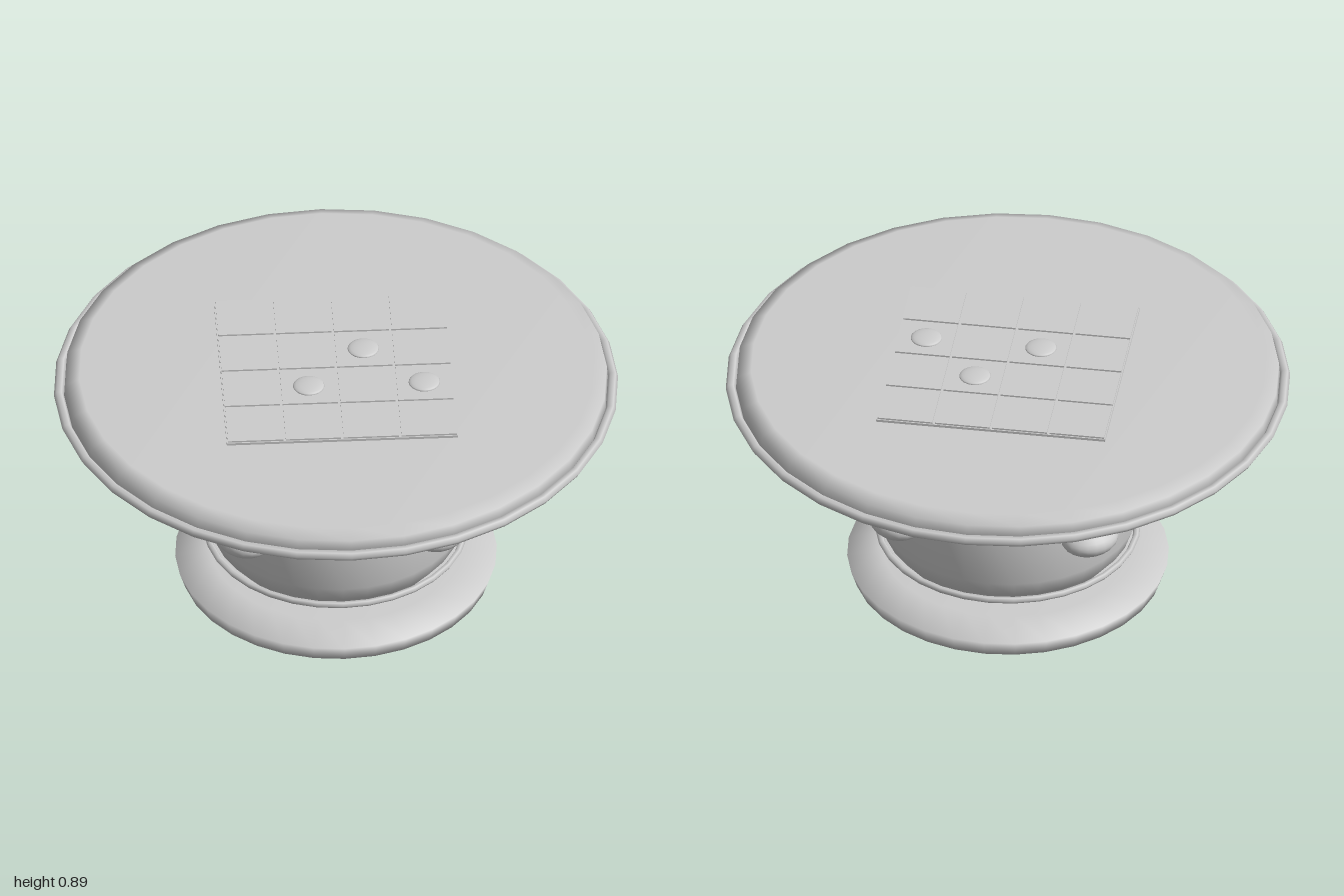
import * as THREE from 'three';

export function createModel() {
  const model = new THREE.Group();
  const stone = new THREE.MeshStandardMaterial({ color: 0xcccccc });
  stone.name = 'pale grey';

  const add = (name, geometry, x = 0, y = 0, z = 0) => {
    const mesh = new THREE.Mesh(geometry, stone);
    mesh.name = name;
    mesh.position.set(x, y, z);
    model.add(mesh);
    return mesh;
  };
  const lathe = (name, points, segments) =>
    add(name, new THREE.LatheGeometry(points.map(p => new THREE.Vector2(...p)), segments));
  const ring = (name, radius, tube, y, segments) =>
    add(name, new THREE.TorusGeometry(radius, tube, 6, segments).rotateX(Math.PI / 2), 0, y, 0);

  // Foot, rounded pedestal and table top
  lathe('foot', [[0, 0], [0.55, 0], [0.57, 0.06], [0.45, 0.095], [0, 0.095]], 32);
  lathe('pedestal', [[0.365, 0.09], [0.44, 0.18], [0.46, 0.24], [0.478, 0.48],
    [0.415, 0.67], [0.3, 0.75]], 32);
  lathe('tableTop', [[0, 0.745], [0.915, 0.745], [0.965, 0.785], [0.96, 0.845],
    [0.91, 0.865], [0, 0.865]], 32);

  // Trim rings
  ring('lowerRing', 0.458, 0.012, 0.171, 32);
  ring('upperRing', 0.458, 0.012, 0.625, 32);
  ring('tableRim', 0.982, 0.018, 0.797, 32);

  // Four oval knobs around the pedestal
  for (let i = 0; i < 4; i++) {
    const angle = Math.PI / 4 + i * Math.PI / 2;
    const knob = add('knob', new THREE.SphereGeometry(1, 20, 14),
      0.488 * Math.sin(angle), 0.4, 0.488 * Math.cos(angle));
    knob.scale.set(0.107, 0.056, 0.093);
    knob.rotation.y = angle;
  }

  // Game board of four by four tiles
  const cell = 0.205;
  add('boardBase', new THREE.BoxGeometry(0.82, 0.012, 0.82), 0, 0.868, 0);
  for (let i = 0; i < 4; i++) {
    for (let j = 0; j < 4; j++) {
      add('tile', new THREE.BoxGeometry(0.196, 0.008, 0.196),
        (i - 1.5) * cell, 0.876, (j - 1.5) * cell);
    }
  }

  // Flat domed playing pieces
  for (const [i, j] of [[1, 2], [2, 1], [3, 2]]) {
    const piece = add('playingPiece', new THREE.SphereGeometry(1, 20, 10),
      (i - 1.5) * cell, 0.881, (j - 1.5) * cell);
    piece.scale.set(0.056, 0.012, 0.056);
  }

  return model;
}
